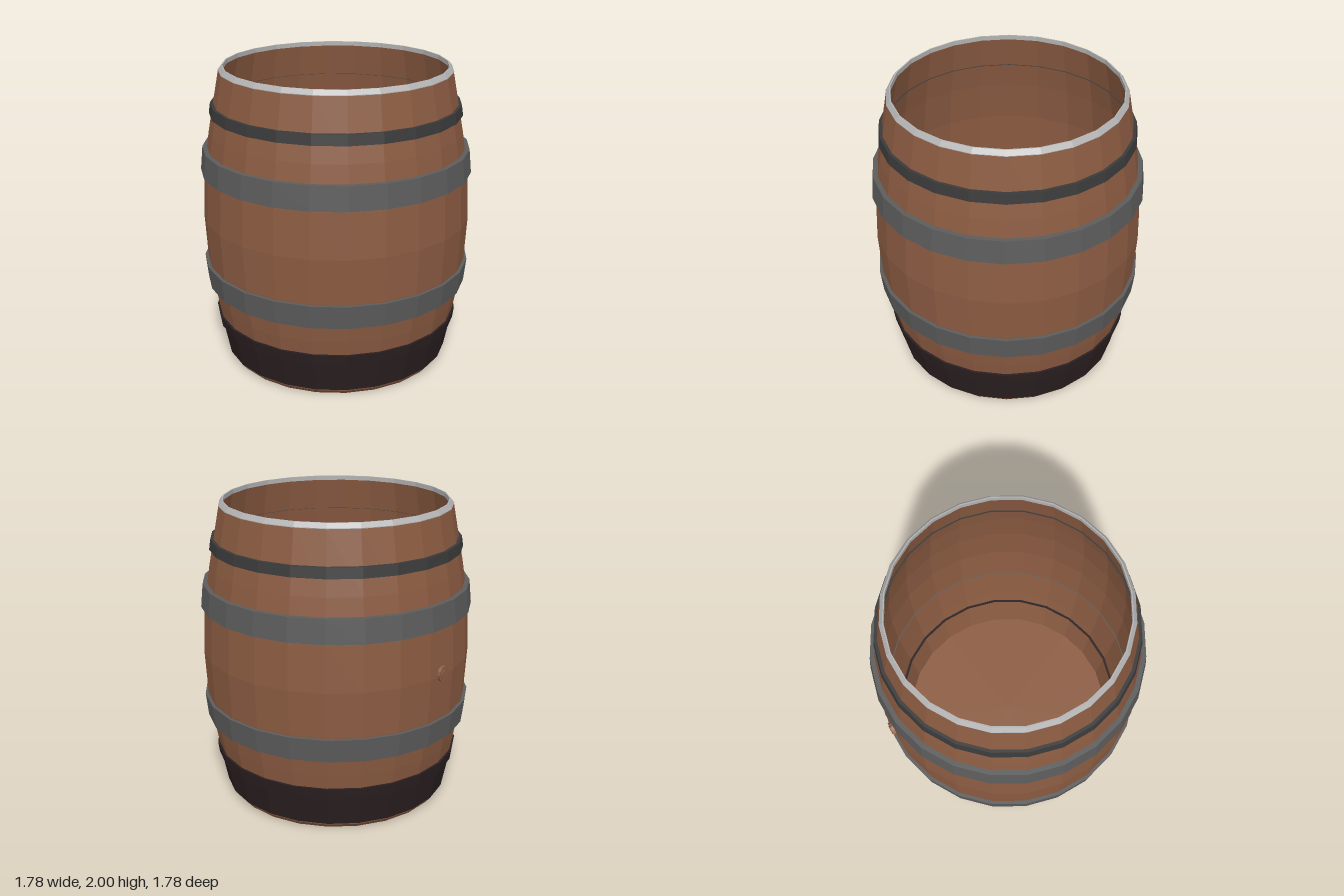
import * as THREE from 'three';

const SIDES = 24;

function material(name, color) {
  const m = new THREE.MeshStandardMaterial({ color, flatShading: true });
  m.name = name;
  return m;
}

export function createModel() {
  const wood = material('brown wood', 0x8c5c42);
  const iron = material('grey iron', 0x5c5c5c);
  const darkIron = material('dark iron', 0x3a3a3a);
  const rimMetal = material('light rim', 0xb2b2b2);
  const tar = material('dark base', 0x2a1f20);

  const group = new THREE.Group();
  group.name = 'barrel';

  // Faceted ring turned from a profile of [radius, height]; radii are measured to the flats
  const flat = 1 / Math.cos(Math.PI / SIDES);
  function turned(name, profile, mat) {
    const points = profile.map(([r, y]) => new THREE.Vector2(r * flat, y));
    const mesh = new THREE.Mesh(
      new THREE.LatheGeometry(points, SIDES, Math.PI / SIDES), mat);
    mesh.name = name;
    group.add(mesh);
    return mesh;
  }

  // Bulging stave wall, outside from bottom to top, then the hollow inside
  const upper = [[0.882, 1], [0.867, 1.3], [0.824, 1.58], [0.75, 1.97]];
  const lower = upper.slice(1).reverse().map(([r, y]) => [r, 2 - y]);
  turned('staves', [[0.725, 0], ...lower, ...upper], wood);
  turned('innerWall', [
    [0.722, 2], [0.805, 1.58], [0.845, 1.3], [0.86, 1],
    [0.845, 0.7], [0.805, 0.42], [0.74, 0.05], [0, 0.05],
  ], wood);

  // Bevelled rim around the open top
  turned('rim', [[0.752, 1.968], [0.752, 1.972], [0.73, 2], [0.722, 2], [0.722, 1.97]], rimMetal);

  // Dark underside and painted base band
  turned('underside', [[0, 0], [0.725, 0]], tar);
  turned('baseBand', [[0.75, 0.04], [0.757, 0.04], [0.8, 0.26], [0.79, 0.26]], tar);

  // Hoop: outer radii at its lower and upper edges, sunk into the staves
  function hoop(name, y0, y1, r0, r1, mat) {
    const t = 0.05;
    turned(name, [[r0 - t, y0], [r0, y0], [r1, y1], [r1 - t, y1]], mat);
  }
  hoop('upperWideHoop', 1.31, 1.465, 0.888, 0.872, iron);
  hoop('lowerWideHoop', 0.54, 0.695, 0.872, 0.888, iron);
  hoop('upperThinHoop', 1.69, 1.757, 0.82, 0.81, darkIron);
  hoop('lowerThinHoop', 0.25, 0.322, 0.81, 0.82, tar);

  // Wooden bung in the back of the right side, on one of the flats
  const bung = new THREE.Group();
  bung.name = 'bung';
  const collar = new THREE.Mesh(new THREE.CylinderGeometry(0.05, 0.055, 0.05, 12), wood);
  collar.name = 'bungCollar';
  const plug = new THREE.Mesh(new THREE.CylinderGeometry(0.03, 0.033, 0.06, 12), wood);
  plug.name = 'bungPlug';
  for (const part of [collar, plug]) {
    part.rotation.x = Math.PI / 2;
    bung.add(part);
  }
  const angle = Math.PI / 6;
  bung.position.set(-0.873 * Math.cos(angle), 1.01, -0.873 * Math.sin(angle));
  bung.rotation.y = Math.atan2(bung.position.x, bung.position.z);
  group.add(bung);

  return group;
}
